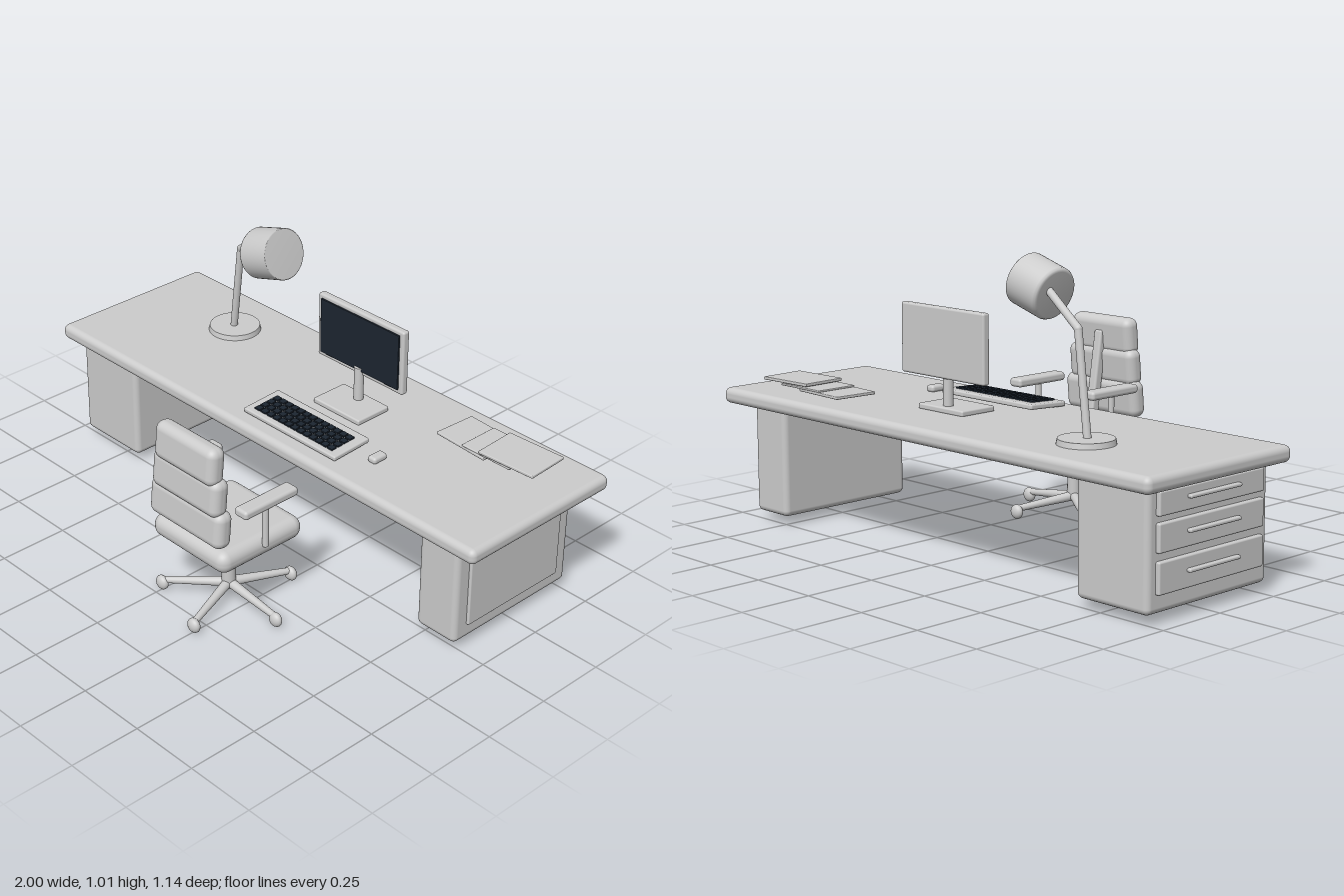
import * as THREE from 'three';
import { RoundedBoxGeometry } from 'three/addons/geometries/RoundedBoxGeometry.js';

const grey = new THREE.MeshStandardMaterial({ color: 0xcccccc });
const dark = new THREE.MeshStandardMaterial({ color: 0x1c2530 });

function add(parent, name, geometry, x, y, z, material = grey) {
  const mesh = new THREE.Mesh(geometry, material);
  mesh.name = name;
  mesh.position.set(x, y, z);
  parent.add(mesh);
  return mesh;
}

// Rounded box given by its minimum and maximum on each axis
function slab(parent, name, [x0, x1], [y0, y1], [z0, z1], r, material = grey, seg = 3) {
  const geo = new RoundedBoxGeometry(x1 - x0, y1 - y0, z1 - z0, seg, r);
  return add(parent, name, geo, (x0 + x1) / 2, (y0 + y1) / 2, (z0 + z1) / 2, material);
}

// Round rod between two points
function rod(parent, name, a, b, r0, r1 = r0) {
  const p = new THREE.Vector3(...a), q = new THREE.Vector3(...b);
  const dir = q.clone().sub(p);
  const mid = p.clone().add(q).multiplyScalar(0.5);
  const mesh = add(parent, name, new THREE.CylinderGeometry(r1, r0, dir.length(), 20), mid.x, mid.y, mid.z);
  mesh.quaternion.setFromUnitVectors(new THREE.Vector3(0, 1, 0), dir.normalize());
  return mesh;
}

function group(parent, name) {
  const g = new THREE.Group();
  g.name = name;
  parent.add(g);
  return g;
}

function buildDesk(root) {
  const g = group(root, 'desk');
  slab(g, 'deskTop', [-1, 1], [0.405, 0.46], [-0.57, 0.08], 0.022, grey, 4);
  slab(g, 'drawerPedestal', [-0.95, -0.66], [0.03, 0.415], [-0.515, 0.025], 0.02);
  slab(g, 'cabinetPedestal', [0.73, 0.895], [0.03, 0.415], [-0.515, 0.025], 0.02);
  slab(g, 'cabinetDoor', [0.88, 0.905], [0.085, 0.365], [-0.458, -0.03], 0.005);
  // Three drawers with bar handles on the outer side
  for (const [y0, y1] of [[0.325, 0.4], [0.215, 0.305], [0.09, 0.19]]) {
    const y = (y0 + y1) / 2 + 0.005;
    slab(g, 'drawerFront', [-0.965, -0.94], [y0, y1], [-0.48, -0.01], 0.006);
    slab(g, 'drawerHandle', [-0.98, -0.96], [y - 0.006, y + 0.006], [-0.36, -0.13], 0.005);
  }
}

function buildMonitor(root) {
  const g = group(root, 'monitor');
  slab(g, 'monitorBody', [-0.072, 0.326], [0.57, 0.805], [-0.333, -0.305], 0.008);
  slab(g, 'screen', [-0.055, 0.309], [0.587, 0.79], [-0.31, -0.299], 0.002, dark, 1);
  rod(g, 'monitorNeck', [0.127, 0.465, -0.305], [0.127, 0.6, -0.305], 0.017);
  slab(g, 'monitorFoot', [0.02, 0.235], [0.458, 0.478], [-0.342, -0.197], 0.006);
}

function buildKeyboard(root) {
  const g = group(root, 'keyboard');
  g.position.set(0.127, 0.474, -0.058);
  g.rotation.x = 0.05;
  add(g, 'keyboardBase', new RoundedBoxGeometry(0.435, 0.018, 0.16, 3, 0.006), 0, 0, 0);
  const cols = 13, rows = 4, pitchX = 0.0288, pitchZ = 0.0275;
  const key = new THREE.BoxGeometry(0.0235, 0.007, 0.022);
  for (let r = 0; r < rows; r++) {
    for (let c = 0; c < cols; c++) {
      add(g, 'key', key, (c - (cols - 1) / 2) * pitchX, 0.011, (r - (rows - 1) / 2) * pitchZ + 0.007, dark);
    }
  }
  slab(root, 'mouse', [0.41, 0.446], [0.458, 0.482], [-0.12, -0.06], 0.01, grey, 4);
}

function buildPapers(root) {
  const g = group(root, 'papers');
  const sheets = [
    ['leftPaper', [0.468, 0.685], [0.474, 0.484], [-0.485, -0.325], -0.06],
    ['middlePaper', [0.58, 0.785], [0.483, 0.49], [-0.482, -0.325], 0],
    ['rightPaper', [0.655, 0.875], [0.493, 0.504], [-0.485, -0.322], 0.05],
  ];
  for (const [name, x, y, z, turn] of sheets) slab(g, name, x, y, z, 0.003, grey, 2).rotation.y = turn;
}

function buildLamp(root) {
  const g = group(root, 'lamp');
  const elbow = [-0.497, 0.805, -0.338];
  add(g, 'lampBase', new THREE.CylinderGeometry(0.09, 0.094, 0.02, 48), -0.55, 0.468, -0.355);
  rod(g, 'lowerArm', [-0.552, 0.465, -0.352], elbow, 0.013);
  add(g, 'elbow', new THREE.SphereGeometry(0.0135, 20, 14), ...elbow);
  rod(g, 'upperArm', elbow, [-0.29, 0.912, -0.275], 0.013);
  // Drum shade with softened rims, its axis tipped up toward +x
  const profile = [[0, -0.068], [0.076, -0.068], [0.084, -0.064], [0.088, -0.056],
    [0.088, 0.065], [0.085, 0.068], [0, 0.068]].map(([r, y]) => new THREE.Vector2(r, y));
  const shade = add(g, 'lampShade', new THREE.LatheGeometry(profile, 48), -0.252, 0.902, -0.255);
  shade.rotation.z = -Math.PI / 2 + 0.3;
}

function buildChair(root) {
  const g = group(root, 'chair');
  const cx = 0.18, cz = 0.338;
  // Five-legged foot with casters
  for (let i = 0; i < 5; i++) {
    const a = i * Math.PI * 2 / 5;
    const x = cx + Math.cos(a) * 0.225, z = cz + Math.sin(a) * 0.225;
    rod(g, 'chairLeg', [cx, 0.06, cz], [x, 0.036, z], 0.017, 0.011);
    add(g, 'caster', new THREE.SphereGeometry(0.0255, 24, 16), x, 0.0255, z).scale.z = 0.67;
  }
  rod(g, 'chairPost', [cx, 0.045, cz], [cx, 0.26, cz], 0.024);
  slab(g, 'chairSeat', [0.003, 0.355], [0.24, 0.32], [0.163, 0.517], 0.037, grey, 5);

  // Leaning bar that carries the back
  const bar = add(g, 'backBar', new RoundedBoxGeometry(0.035, 0.43, 0.034, 3, 0.008), cx, 0.425, 0.44);
  bar.rotation.x = 0.15;

  // Stacked back cushions, narrowing upward
  for (const [y0, y1, width] of [[0.34, 0.47, 0.34], [0.45, 0.582, 0.31], [0.558, 0.69, 0.28]]) {
    const geo = new RoundedBoxGeometry(width, y1 - y0, 0.066, 5, 0.029);
    add(g, 'backCushion', geo, cx, (y0 + y1) / 2, 0.496).rotation.x = -0.09;
  }

  // Armrests on both sides
  for (const side of [-1, 1]) {
    const px = cx + side * 0.178;
    rod(g, 'armrestPost', [px, 0.29, cz], [px, 0.45, cz], 0.011);
    slab(g, 'armrest', [px - 0.028, px + 0.028], [0.441, 0.472], [0.22, 0.447], 0.011);
  }
}

export function createModel() {
  const root = new THREE.Group();
  root.name = 'deskWorkplace';
  buildDesk(root);
  buildMonitor(root);
  buildKeyboard(root);
  buildPapers(root);
  buildLamp(root);
  buildChair(root);
  return root;
}
